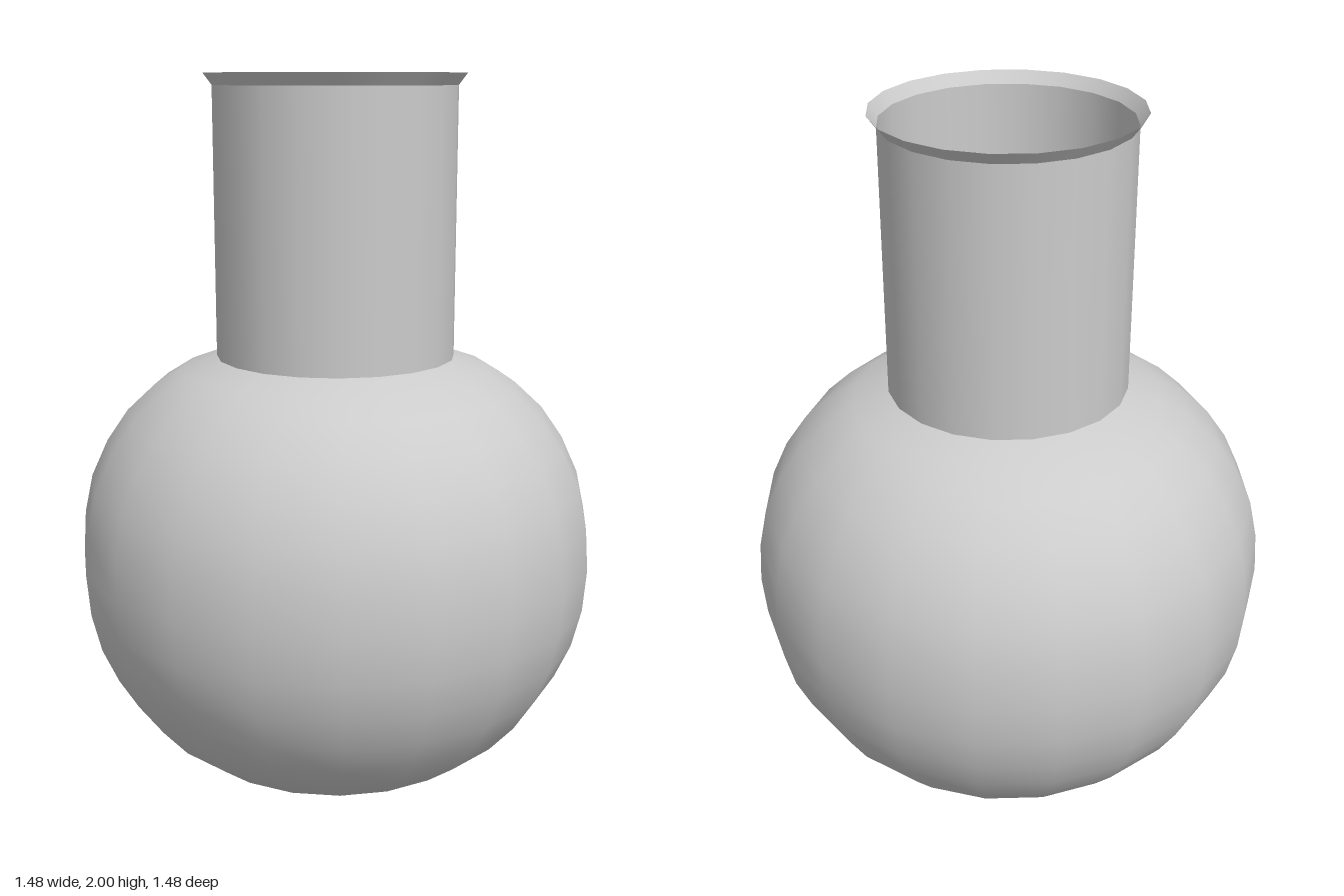
import * as THREE from 'three';

const SIDES = 20;

export function createModel() {
  const group = new THREE.Group();
  const glass = new THREE.MeshStandardMaterial({ color: 0xcccccc, side: THREE.DoubleSide });
  const liquidMaterial = new THREE.MeshStandardMaterial({ color: 0x11eab2 });

  // Turn a list of [radius, height] points around the y axis
  const turned = (name, points, material) => {
    const profile = points.map(([r, y]) => new THREE.Vector2(r, y));
    const mesh = new THREE.Mesh(new THREE.LatheGeometry(profile, SIDES), material);
    mesh.name = name;
    group.add(mesh);
    return mesh;
  };

  // Round, slightly squashed bulb with a flattened base
  const lower = [
    [0, 0], [0.2, 0.005], [0.31, 0.012], [0.365, 0.025], [0.43, 0.05], [0.53, 0.125],
    [0.605, 0.21], [0.66, 0.3], [0.705, 0.4], [0.732, 0.51], [0.742, 0.63],
  ];
  const upper = [
    [0.734, 0.75], [0.71, 0.86], [0.662, 0.965], [0.6, 1.055],
    [0.52, 1.13], [0.44, 1.18], [0.34, 1.215],
  ];
  turned('bulb', [...lower, ...upper], glass);

  // Straight open neck and its flared lip
  turned('neck', [[0.34, 1.215], [0.34, 1.967]], glass);
  turned('lip', [[0.34, 1.967], [0.365, 2]], glass);

  // Liquid filling the lower half of the bulb, with a flat top
  const inside = lower.map(([r, y]) => [r * 0.97, 0.02 + y * 0.97]);
  const [topRadius, level] = inside[inside.length - 1];
  turned('liquid', inside, liquidMaterial);
  const surface = new THREE.Mesh(new THREE.CircleGeometry(topRadius, SIDES), liquidMaterial);
  surface.name = 'liquidSurface';
  surface.rotation.x = -Math.PI / 2;
  surface.position.y = level;
  group.add(surface);

  return group;
}
